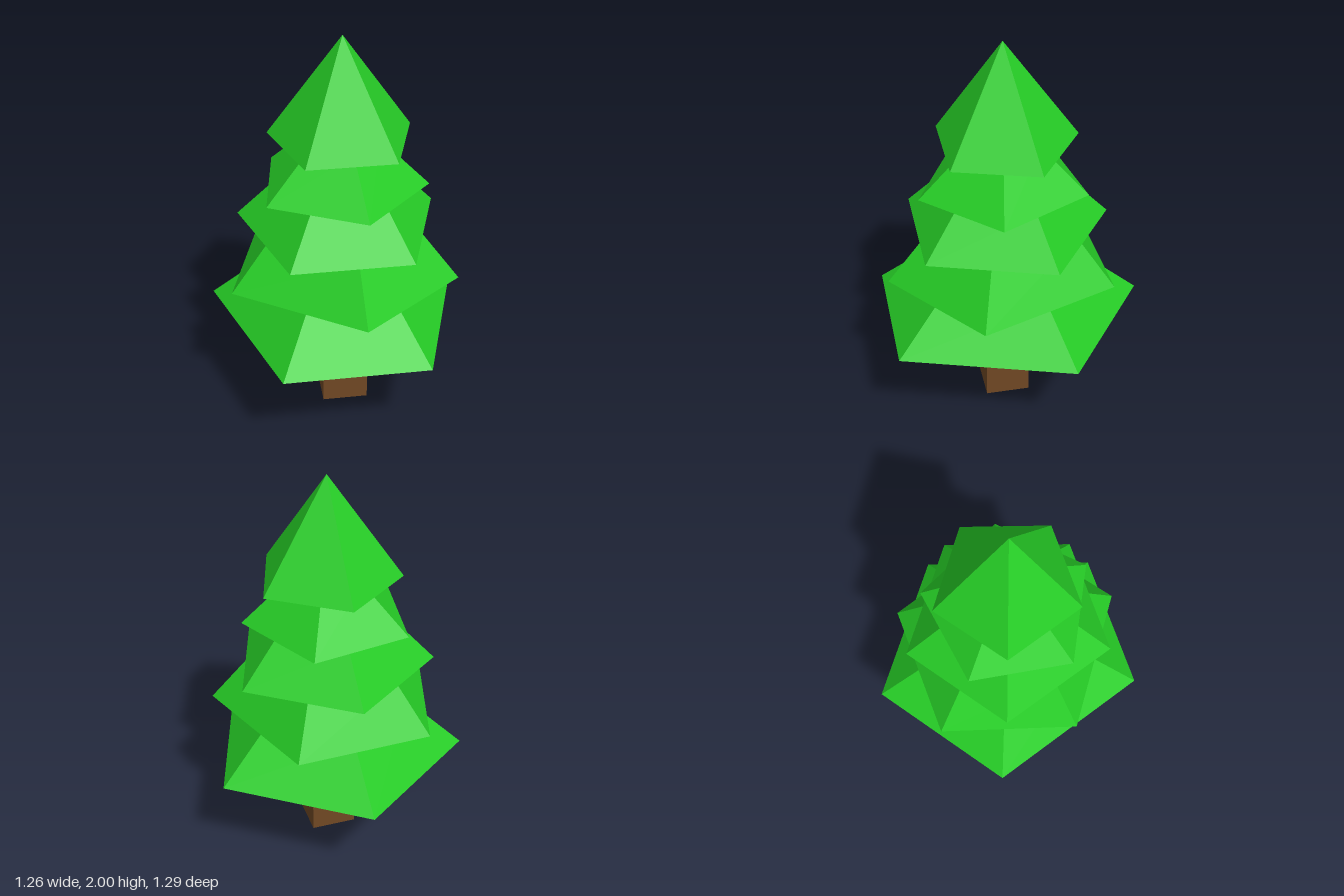
import * as THREE from 'three';

// Shared centre line of trunk and foliage
const CX = 0.01, CZ = 0.053;

// Each tier: base height, top height, top scale, and base corners [x, z]
// listed counter-clockwise as seen from above
const TIERS = [
  { y: 0.5, top: 0.755, scale: 0.58,
    ring: [[0.36, 0.645], [0.63, -0.19], [0, -0.65], [-0.635, -0.19], [-0.36, 0.645]] },
  { y: 0.755, top: 1.005, scale: 0.655,
    ring: [[0.045, 0.645], [0.565, 0.25], [0.315, -0.445], [-0.365, -0.425], [-0.56, 0.23]] },
  { y: 1.005, top: 1.235, scale: 0.59,
    ring: [[0.295, 0.487], [0.495, -0.12], [0, -0.478], [-0.495, -0.12], [-0.3, 0.487]] },
  { y: 1.235, top: 1.47, scale: 0.425,
    ring: [[0.075, 0.48], [0.425, 0.13], [0.195, -0.33], [-0.305, -0.25], [-0.38, 0.25]] },
  { y: 1.47, top: 2, scale: 0,
    ring: [[0.23, 0.345], [0.362, -0.068], [0, -0.32], [-0.34, -0.068], [-0.205, 0.345]] },
];

// Five-sided tapering tier with a closed underside
function tierGeometry({ y, top, scale, ring }) {
  const base = ring.map(([x, z]) => [x, y, z]);
  const upper = ring.map(([x, z]) => [CX + (x - CX) * scale, top, CZ + (z - CZ) * scale]);
  const centre = [CX, y, CZ];
  const points = [];
  for (let i = 0; i < ring.length; i++) {
    const j = (i + 1) % ring.length;
    points.push(...base[i], ...base[j], ...upper[j]);
    if (scale > 0) points.push(...base[i], ...upper[j], ...upper[i]);
    points.push(...centre, ...base[j], ...base[i]);
  }
  const geometry = new THREE.BufferGeometry();
  geometry.setAttribute('position', new THREE.Float32BufferAttribute(points, 3));
  geometry.computeVertexNormals();
  return geometry;
}

export function createModel() {
  const tree = new THREE.Group();
  tree.name = 'tree';

  const leafGreen = new THREE.MeshStandardMaterial({ color: 0x26cc26 });
  leafGreen.name = 'leafGreen';
  const barkBrown = new THREE.MeshStandardMaterial({ color: 0x704824 });
  barkBrown.name = 'barkBrown';

  // Square trunk, running a little way into the lowest tier
  const trunk = new THREE.Mesh(new THREE.BoxGeometry(0.23, 0.56, 0.225), barkBrown);
  trunk.name = 'trunk';
  trunk.position.set(CX, 0.28, 0.057);
  tree.add(trunk);

  // Stacked foliage tiers
  TIERS.forEach((tier, i) => {
    const mesh = new THREE.Mesh(tierGeometry(tier), leafGreen);
    mesh.name = `foliageTier${i + 1}`;
    tree.add(mesh);
  });

  return tree;
}
